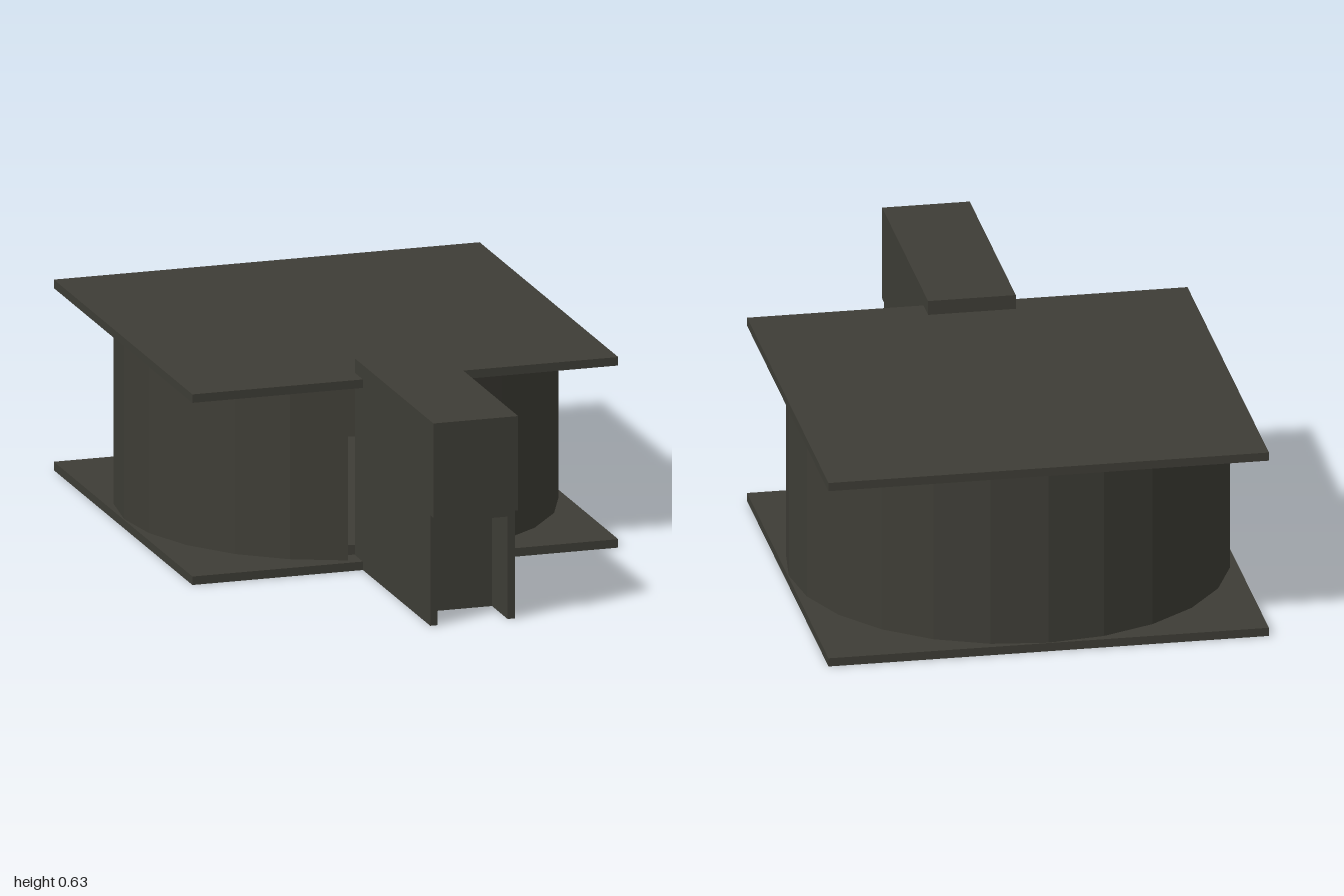
import * as THREE from 'three';

const PLATE = 1.326, CENTER_Z = -0.337, RADIUS = 0.66, INNER = 0.6;
const STEP = Math.PI / 12; // 24-sided drum

export function createModel() {
  const model = new THREE.Group();
  model.name = 'drumChamber';
  const darkGrey = new THREE.MeshStandardMaterial({ color: 0x3e3d36, flatShading: true });
  darkGrey.name = 'dark grey';

  function add(name, geometry, parent = model) {
    const mesh = new THREE.Mesh(geometry, darkGrey);
    mesh.name = name;
    parent.add(mesh);
    return mesh;
  }

  // Box given by its lower and upper limits on each axis
  function box(name, x0, x1, y0, y1, z0, z1, parent) {
    const mesh = add(name, new THREE.BoxGeometry(x1 - x0, y1 - y0, z1 - z0), parent);
    mesh.position.set((x0 + x1) / 2, (y0 + y1) / 2, (z0 + z1) / 2);
    return mesh;
  }

  // Square floor and roof plates
  const h = PLATE / 2;
  box('floorPlate', -h, h, 0, 0.026, -1, -1 + PLATE);
  box('roofPlate', -h, h, 0.56, 0.586, -1, -1 + PLATE);

  // Hollow faceted drum wall, with one side left open at the front
  const outline = [];
  const corner = (r, i) => outline.push(
    new THREE.Vector2(r * Math.sin(i * STEP), -r * Math.cos(i * STEP)));
  for (let i = 1; i <= 23; i++) corner(RADIUS, i);
  for (let i = 23; i >= 1; i--) corner(INNER, i);
  const wall = new THREE.ExtrudeGeometry(new THREE.Shape(outline), {
    depth: 0.534, bevelEnabled: false,
  });
  wall.rotateX(-Math.PI / 2);
  add('drumWall', wall).position.set(0, 0.026, CENTER_Z);

  // Raised floor inside the drum
  const floor = add('drumFloor', new THREE.CylinderGeometry(INNER, INNER, 0.03, 24));
  floor.position.set(0, 0.041, CENTER_Z);

  // Entrance passage: solid core, thin side walls, lintel and taller hood
  const entrance = new THREE.Group();
  entrance.name = 'entrance';
  model.add(entrance);
  box('passageCore', -0.109, 0.109, 0, 0.315, 0.25, 0.82, entrance);
  box('rightPassageWall', -0.132, -0.109, 0, 0.34, 0.25, 0.97, entrance);
  box('leftPassageWall', 0.109, 0.132, 0, 0.34, 0.25, 0.97, entrance);
  box('passageLintel', -0.109, 0.109, 0.315, 0.34, 0.25, 0.97, entrance);
  box('entranceHood', -0.132, 0.132, 0.34, 0.63, 0.25, 1, entrance);

  return model;
}
